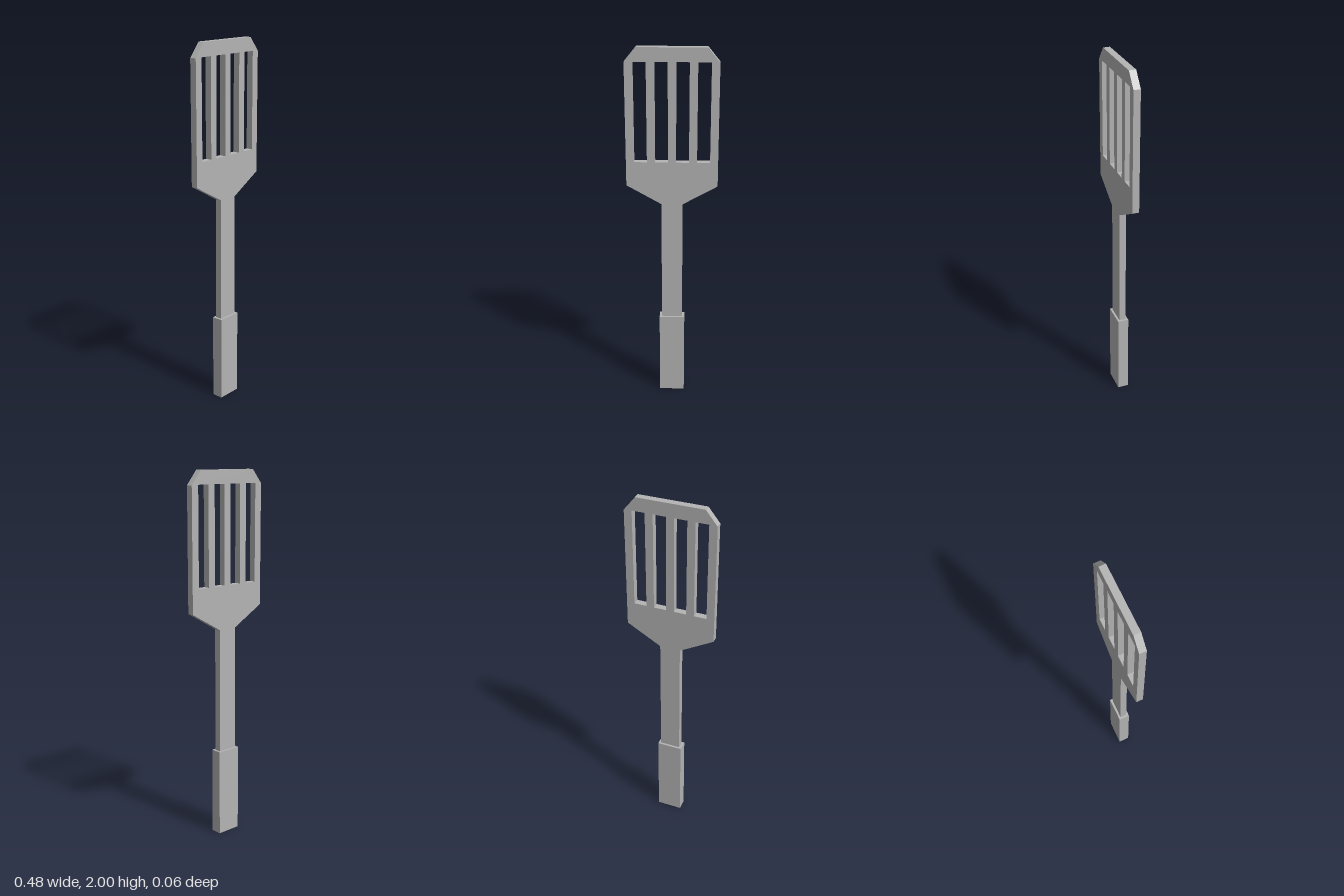
import * as THREE from 'three';

export function createModel() {
  const group = new THREE.Group();
  const metal = new THREE.MeshStandardMaterial({ color: 0xb4b4b4 });
  metal.name = 'grey metal';

  // Half outline of blade and stem, mirrored to make the full shape
  const half = [[0.056, 0.46], [0.056, 1.165], [0.241, 1.27], [0.241, 1.925], [0.18, 2]];
  const outline = [...half, ...half.map(([x, y]) => [-x, y]).reverse()];
  const shape = new THREE.Shape(outline.map(([x, y]) => new THREE.Vector2(x, y)));

  // Four slots
  const [slotBottom, slotTop, slotHalf] = [1.4, 1.927, 0.034];
  for (const x of [-0.165, -0.055, 0.055, 0.165]) {
    shape.holes.push(new THREE.Path([
      new THREE.Vector2(x - slotHalf, slotBottom),
      new THREE.Vector2(x - slotHalf, slotTop),
      new THREE.Vector2(x + slotHalf, slotTop),
      new THREE.Vector2(x + slotHalf, slotBottom),
    ]));
  }

  const thickness = 0.037;
  const bladeGeometry = new THREE.ExtrudeGeometry(shape, { depth: thickness, bevelEnabled: false });
  bladeGeometry.translate(0, 0, -thickness / 2);
  const blade = new THREE.Mesh(bladeGeometry, metal);
  blade.name = 'slottedBladeAndStem';
  group.add(blade);

  // Grip
  const grip = new THREE.Mesh(new THREE.BoxGeometry(0.138, 0.482, 0.061), metal);
  grip.name = 'grip';
  grip.position.y = 0.241;
  group.add(grip);

  return group;
}
